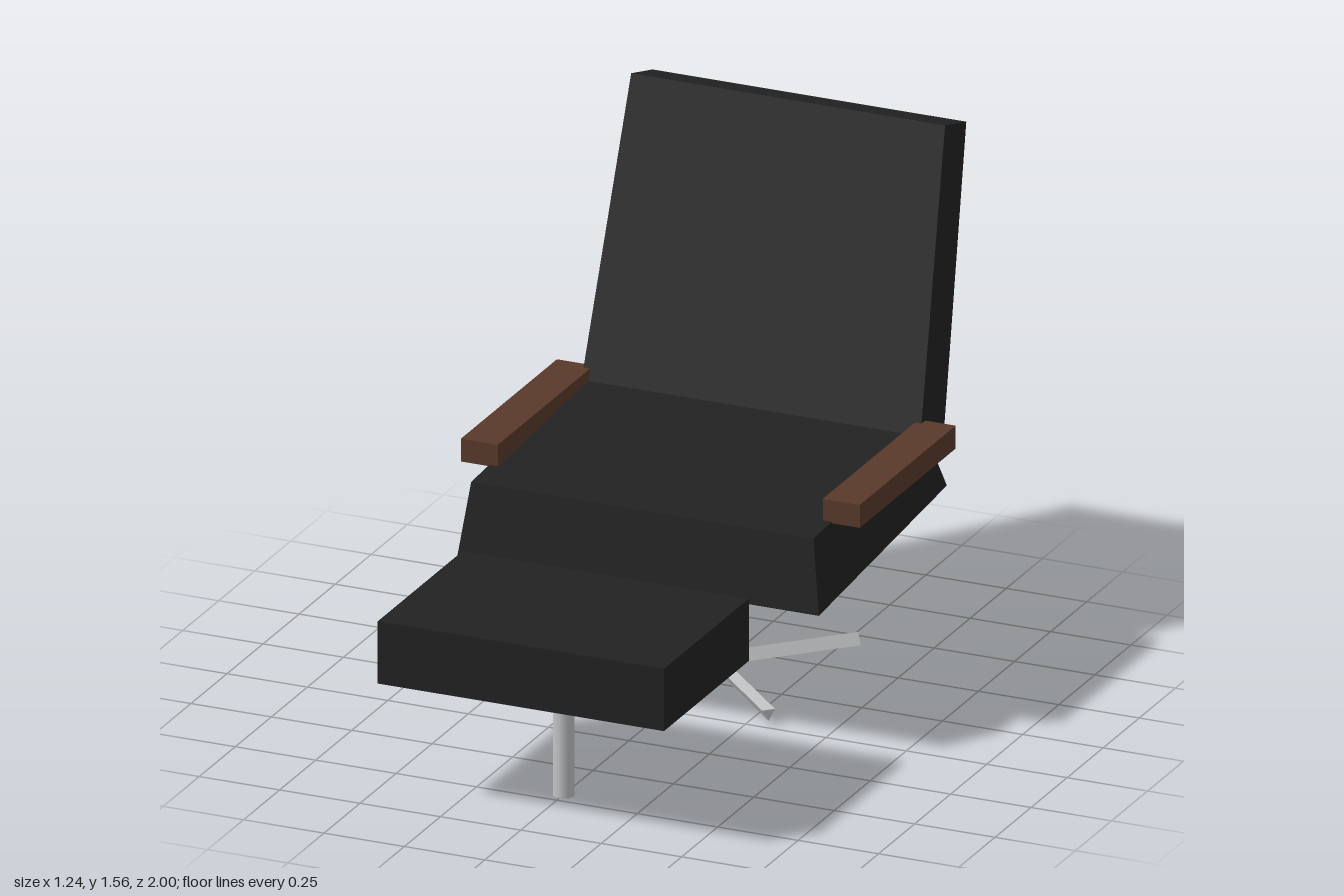
import * as THREE from 'three';

// Six-sided block: each end is { w: half width, front: [z, y], back: [z, y] }
function taperedBlock(bottom, top) {
  const geometry = new THREE.BoxGeometry(2, 2, 2);
  const p = geometry.attributes.position;
  for (let i = 0; i < p.count; i++) {
    const end = p.getY(i) > 0 ? top : bottom;
    const [z, y] = p.getZ(i) > 0 ? end.front : end.back;
    p.setXYZ(i, p.getX(i) * end.w, y, z);
  }
  geometry.computeVertexNormals();
  return geometry;
}

export function createModel() {
  const model = new THREE.Group();
  const leather = new THREE.MeshStandardMaterial({ name: 'black leather', color: 0x222222 });
  const wood = new THREE.MeshStandardMaterial({ name: 'brown wood', color: 0x5a3a2b });
  const metal = new THREE.MeshStandardMaterial({ name: 'light metal', color: 0xc4c6c8 });

  function add(name, geometry, material, x = 0, y = 0, z = 0, parent = model) {
    const mesh = new THREE.Mesh(geometry, material);
    mesh.name = name;
    mesh.position.set(x, y, z);
    parent.add(mesh);
    return mesh;
  }

  // Tilted seat cushion, narrower at the top
  add('seat', taperedBlock(
    { w: 0.562, front: [0.187, 0.45], back: [-0.7, 0.525] },
    { w: 0.532, front: [0.158, 0.67], back: [-0.62, 0.709] }
  ), leather);

  // Reclined backrest, narrower at the top
  add('backrest', taperedBlock(
    { w: 0.532, front: [-0.563, 0.6], back: [-0.735, 0.6] },
    { w: 0.488, front: [-0.853, 1.557], back: [-1, 1.515] }
  ), leather);

  // Armrests
  for (const [name, side] of [['leftArmrest', 1], ['rightArmrest', -1]]) {
    add(name, new THREE.BoxGeometry(0.115, 0.07, 0.665), wood, side * 0.5625, 0.707, -0.3);
  }

  // Swivel base: post and four three-sided feet
  const baseZ = -0.335;
  add('basePost', new THREE.CylinderGeometry(0.041, 0.041, 0.45, 12), metal, 0, 0.225, baseZ);
  for (let i = 0; i < 4; i++) {
    const turn = new THREE.Group();
    turn.name = 'baseFoot';
    turn.position.set(0, 0.034, baseZ);
    turn.rotation.y = Math.PI / 4 + i * Math.PI / 2;
    const rod = new THREE.CylinderGeometry(0.0225, 0.0225, 0.44, 3).toNonIndexed();
    rod.computeVertexNormals();
    rod.rotateX(Math.PI / 2);
    const foot = add('footBar', rod, metal, 0, 0, 0.22, turn);
    // Front feet have their ridge below, rear feet above
    const isFront = Math.cos(turn.rotation.y) > 0;
    foot.rotation.z = isFront ? 0 : Math.PI;
    model.add(turn);
  }

  // Footstool
  add('footstoolCushion', new THREE.BoxGeometry(0.89, 0.19, 0.59), leather, 0, 0.47, 0.705);
  add('footstoolPost', new THREE.CylinderGeometry(0.033, 0.033, 0.376, 8), metal, 0, 0.188, 0.702);

  return model;
}
